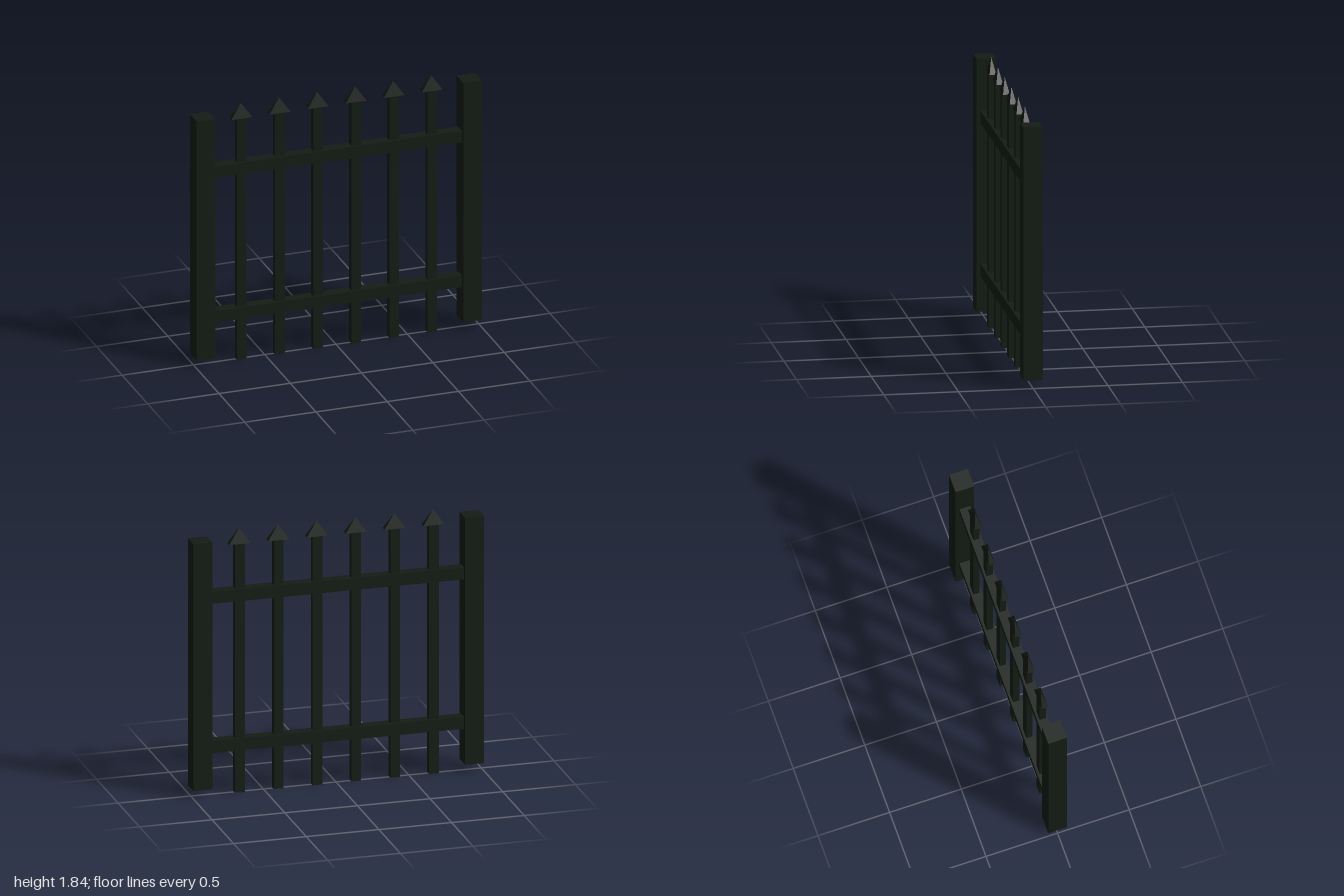
import * as THREE from 'three';

export function createModel() {
  const fence = new THREE.Group();
  fence.name = 'fencePanel';
  const paint = new THREE.MeshStandardMaterial({ color: 0x141c14, flatShading: true });

  const add = (name, geometry, x, y) => {
    const mesh = new THREE.Mesh(geometry, paint);
    mesh.name = name;
    mesh.position.set(x, y, 0);
    fence.add(mesh);
  };

  // Square end posts
  const post = new THREE.BoxGeometry(0.13, 1.725, 0.13);
  add('leftPost', post, 0.935, 0.9175);
  add('rightPost', post, -0.935, 0.9175);

  // Horizontal rails between the posts
  const rail = new THREE.BoxGeometry(1.75, 0.083, 0.075);
  add('lowerRail', rail, 0, 0.34);
  add('upperRail', rail, 0, 1.383);

  // Flat pickets, each topped by a four-sided spear head
  const picket = new THREE.BoxGeometry(0.067, 1.737, 0.044);
  const head = new THREE.ConeGeometry(Math.SQRT1_2, 1, 4, 1)
    .rotateY(Math.PI / 4)
    .scale(0.146, 0.105, 0.046);
  for (let i = 0; i < 6; i++) {
    const x = (i - 2.5) * 0.267;
    add('picket', picket, x, 0.8685);
    add('spearHead', head, x, 1.7875);
  }
  return fence;
}
